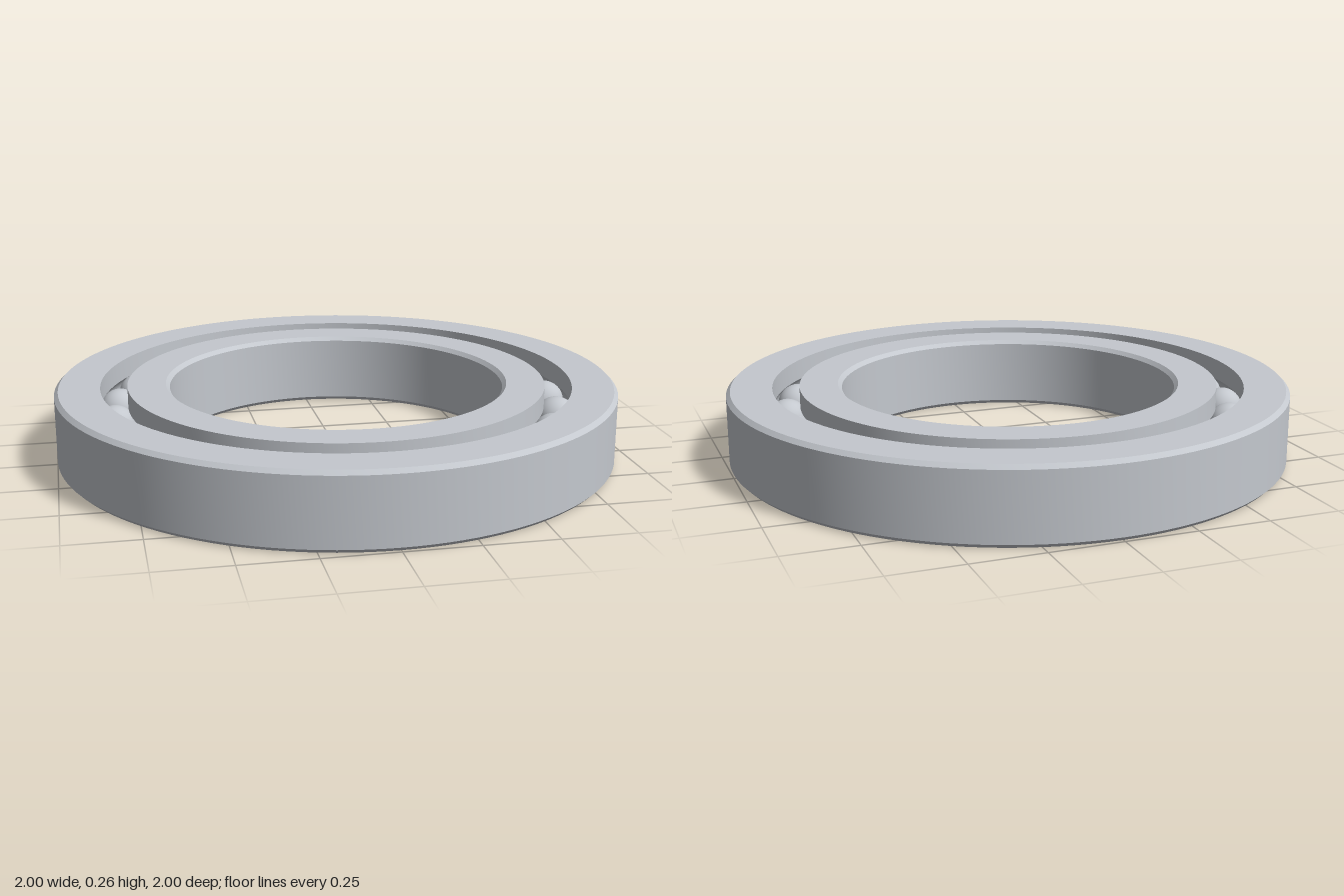
import * as THREE from 'three';
import { toCreasedNormals } from 'three/addons/utils/BufferGeometryUtils.js';

const HEIGHT = 0.262, MID = HEIGHT / 2, CHAMFER = 0.014;
const BORE = 0.596, INNER_LIP = 0.745, OUTER_LIP = 0.84, RIM = 1;
const PITCH = (INNER_LIP + OUTER_LIP) / 2, BALL_RADIUS = 0.073, GROOVE_RADIUS = 0.074;
const BALL_COUNT = 24;

// Raceway arc about the ball centre; side +1 cuts the outer ring, -1 the inner ring
function groove(side, steps = 14) {
  const half = Math.acos((OUTER_LIP - PITCH) / GROOVE_RADIUS);
  return Array.from({ length: steps + 1 }, (_, i) => {
    const a = half * (1 - 2 * i / steps) * side;
    return [PITCH + side * GROOVE_RADIUS * Math.cos(a), MID + GROOVE_RADIUS * Math.sin(a)];
  });
}

// Revolve a closed counter-clockwise profile of [radius, height] pairs
function ring(name, profile, material) {
  const points = [...profile, profile[0]].map(([r, y]) => new THREE.Vector2(r, y));
  const geometry = toCreasedNormals(new THREE.LatheGeometry(points, 128), Math.PI / 6);
  const mesh = new THREE.Mesh(geometry, material);
  mesh.name = name;
  return mesh;
}

export function createModel() {
  const model = new THREE.Group();
  model.name = 'ballBearing';
  const steel = new THREE.MeshStandardMaterial({ color: 0xc4c8ce });
  steel.name = 'steel';

  // Outer ring: chamfered rim, raceway on its inside
  model.add(ring('outerRing', [
    [OUTER_LIP, 0], [RIM - CHAMFER, 0], [RIM, CHAMFER],
    [RIM, HEIGHT - CHAMFER], [RIM - CHAMFER, HEIGHT], [OUTER_LIP, HEIGHT],
    ...groove(1),
  ], steel));

  // Inner ring: chamfered bore, raceway on its outside
  model.add(ring('innerRing', [
    [BORE + CHAMFER, 0], [INNER_LIP, 0],
    ...groove(-1),
    [INNER_LIP, HEIGHT], [BORE + CHAMFER, HEIGHT],
    [BORE, HEIGHT - CHAMFER], [BORE, CHAMFER],
  ], steel));

  // Balls evenly spaced between the raceways
  const balls = new THREE.Group();
  balls.name = 'balls';
  const ballGeometry = new THREE.SphereGeometry(BALL_RADIUS, 32, 20);
  for (let i = 0; i < BALL_COUNT; i++) {
    const a = i / BALL_COUNT * Math.PI * 2;
    const ball = new THREE.Mesh(ballGeometry, steel);
    ball.name = 'ball';
    ball.position.set(Math.cos(a) * PITCH, MID, Math.sin(a) * PITCH);
    balls.add(ball);
  }
  model.add(balls);
  return model;
}
